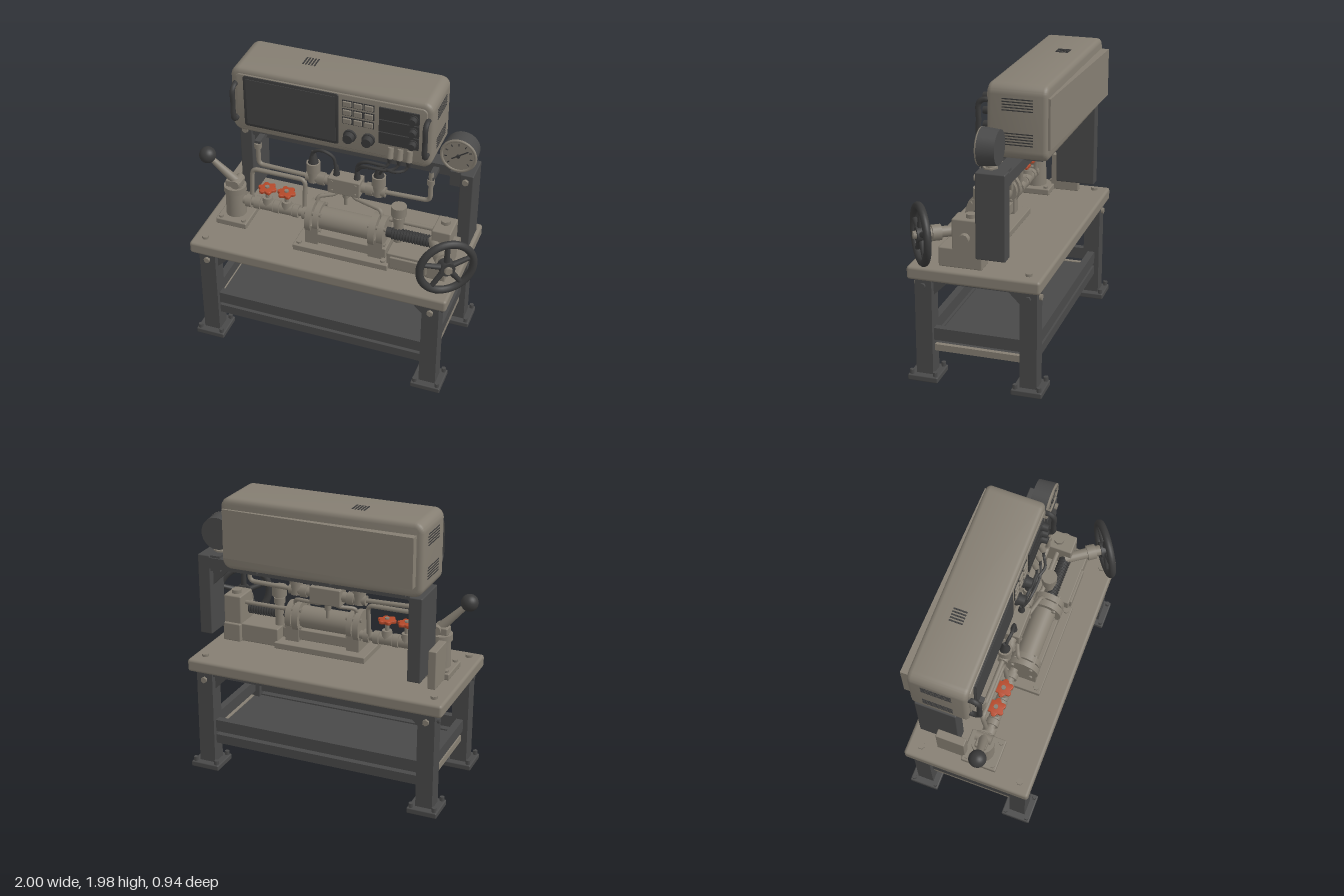
import * as THREE from 'three';
import { toCreasedNormals } from 'three/addons/utils/BufferGeometryUtils.js';
import { RoundedBoxGeometry } from 'three/addons/geometries/RoundedBoxGeometry.js';

const mat = (name, color) => Object.assign(new THREE.MeshStandardMaterial({ color }), { name });
const V = (p) => new THREE.Vector3(...p);

export function createModel() {
  const model = new THREE.Group();
  model.name = 'testBench';
  const beige = mat('warmGreyPaint', 0x857e72), dark = mat('darkSteel', 0x494949);
  const black = mat('blackRubber', 0x3a3a3a), glass = mat('screenGlass', 0x424242);
  const orange = mat('orangeValve', 0xb4492a);

  const add = (name, m, geo, pos = [0, 0, 0], parent = model) => {
    const mesh = new THREE.Mesh(geo, m);
    mesh.name = name;
    mesh.position.set(...pos);
    parent.add(mesh);
    return mesh;
  };
  // box given by its ranges, with an optional rounded edge
  const box = (name, m, x0, x1, y0, y1, z0, z1, r = 0) => add(name, m,
    r ? new RoundedBoxGeometry(x1 - x0, y1 - y0, z1 - z0, 2, r) : new THREE.BoxGeometry(x1 - x0, y1 - y0, z1 - z0),
    [(x0 + x1) / 2, (y0 + y1) / 2, (z0 + z1) / 2]);
  // cylinder or cone from point a to point b
  const rod = (name, m, a, b, r0, r1 = r0, sides = 20, parent = model) => {
    const A = V(a), B = V(b), d = B.clone().sub(A);
    const mesh = add(name, m, new THREE.CylinderGeometry(r1, r0, d.length(), sides), A.clone().lerp(B, 0.5).toArray(), parent);
    mesh.quaternion.setFromUnitVectors(new THREE.Vector3(0, 1, 0), d.normalize());
    return mesh;
  };
  const cable = (name, m, pts, r) => add(name, m,
    new THREE.TubeGeometry(new THREE.CatmullRomCurve3(pts.map(V)), 28, r, 8));
  // pipe with straight runs and rounded bends
  const pipe = (name, pts, r, bend = 0.04) => {
    const path = new THREE.CurvePath(), p = pts.map(V);
    let from = p[0];
    for (let i = 1; i < p.length - 1; i++) {
      const a = p[i].clone().add(p[i - 1].clone().sub(p[i]).setLength(bend));
      const b = p[i].clone().add(p[i + 1].clone().sub(p[i]).setLength(bend));
      path.add(new THREE.LineCurve3(from, a));
      path.add(new THREE.QuadraticBezierCurve3(a, p[i], b));
      from = b;
    }
    path.add(new THREE.LineCurve3(from, p[p.length - 1]));
    add(name, beige, new THREE.TubeGeometry(path, 60, r, 10));
  };
  const bolt = (m, a, dir, r = 0.018, h = 0.02) => rod('bolt', m, a, a.map((v, i) => v + dir[i] * h), r, r, 6);
  const roundRect = (w, h, r) => {
    const s = new THREE.Shape(), x = w / 2 - r, y = h / 2 - r;
    [[x, y], [-x, y], [-x, -y], [x, -y]].forEach(([cx, cy], i) => s.absarc(cx, cy, r, i * Math.PI / 2, (i + 1) * Math.PI / 2));
    return s;
  };
  const extrude = (shape, depth, bevel = 0) => toCreasedNormals(new THREE.ExtrudeGeometry(shape, {
    depth, bevelEnabled: bevel > 0, bevelSize: bevel, bevelThickness: bevel, bevelSegments: 3, curveSegments: 8 }), 0.6);
  // triangular brace with its right angle at a top corner
  const gusset = (x, y, z, size, yaw) => {
    const s = new THREE.Shape([[0, 0], [0, -size], [size, 0]].map((p) => new THREE.Vector2(...p)));
    const g = new THREE.ExtrudeGeometry(s, { depth: 0.03, bevelEnabled: false }).translate(0, 0, -0.015);
    add('gusset', dark, g, [x, y, z]).rotation.y = yaw;
  };

  // --- table ---
  box('tableTop', beige, -0.96, 0.86, 0.72, 0.81, -0.46, 0.425, 0.02);
  const legX = [-0.848, 0.748], legZ = [-0.37, 0.333];
  for (const x of legX) for (const z of legZ) {
    const sx = Math.sign(x), sz = Math.sign(z);
    box('leg', dark, x - 0.058, x + 0.058, 0.03, 0.72, z - 0.057, z + 0.057);
    box('foot', dark, x - 0.104, x + 0.104, 0, 0.04, z - 0.103, z + 0.103, 0.008);
    for (const i of [-1, 1]) for (const j of [-1, 1]) bolt(dark, [x + i * 0.08, 0.04, z + j * 0.08], [0, 1, 0], 0.016, 0.03);
    bolt(beige, [x, 0.665, z + sz * 0.055], [0, 0, sz], 0.022);
    bolt(dark, [x + sx * 0.055, 0.665, z], [sx, 0, 0], 0.02);
    bolt(beige, [x + (x > 0 ? 0.022 : -0.027), 0.808, z + 0.007], [0, 1, 0], 0.024);
    gusset(x - sx * 0.058, 0.69, z, 0.1, sx > 0 ? Math.PI : 0);
    gusset(x, 0.69, z - sz * 0.057, 0.1, sz > 0 ? Math.PI / 2 : -Math.PI / 2);
  }
  for (const z of legZ) {
    box('longApron', dark, -0.8, 0.7, 0.69, 0.722, z - 0.045, z + 0.045);
    box('longRail', dark, -0.8, 0.7, 0.27, 0.355, z - 0.025, z + 0.025);
    box('shelfRail', dark, -0.8, 0.7, 0.18, 0.245, z - 0.025, z + 0.025);
  }
  for (const x of legX) {
    box('sideApron', dark, x - 0.045, x + 0.045, 0.69, 0.722, -0.32, 0.28);
    box('sideRail', dark, x - 0.025, x + 0.025, 0.275, 0.36, -0.32, 0.28);
    box('shelfEdge', beige, x - 0.015, x + 0.015, 0.195, 0.24, -0.32, 0.28);
  }
  box('shelf', dark, -0.835, 0.735, 0.2, 0.235, -0.36, 0.32);

  // --- upper frame ---
  box('leftPost', dark, -0.79, -0.7, 0.91, 1.485, -0.4, -0.12, 0.008);
  box('rightPost', dark, 0.78, 0.87, 0.92, 1.49, -0.24, -0.045, 0.008);
  box('crossBeam', dark, -0.71, 0.8, 1.4, 1.475, -0.24, -0.13);
  box('rightBeamPlate', dark, 0.71, 0.8, 1.38, 1.49, -0.23, -0.06);
  gusset(-0.7, 1.4, -0.18, 0.1, 0);
  gusset(0.78, 1.4, -0.18, 0.13, Math.PI);
  bolt(beige, [0.82, 1.44, -0.047], [0, 0, 1], 0.022);
  bolt(beige, [-0.745, 1.44, -0.122], [0, 0, 1], 0.022);
  for (const x of [-0.61, -0.1, 0.42]) {
    box('cabinetBracket', dark, x - 0.05, x + 0.05, 1.46, 1.51, -0.36, -0.08);
  }

  // --- instrument cabinet ---
  const cx = -0.102, cy = 1.732;
  add('cabinet', beige, extrude(roundRect(1.325, 0.425, 0.035), 0.33, 0.03), [cx, cy, -0.39]);
  add('frontBezel', beige, extrude(roundRect(1.3, 0.4, 0.03), 0.012, 0.006), [cx, cy, -0.04]);
  const wedge = new THREE.Shape([[-0.75, 0.42], [0.57, 0.42], [0.57, 0.435], [-0.75, 0.475]].map((p) => new THREE.Vector2(...p)));
  add('backPanel', beige, new THREE.ExtrudeGeometry(wedge, { depth: 0.33, bevelEnabled: false }).rotateX(-Math.PI / 2), [0, 1.57, 0]);
  add('screenFrame', black, extrude(roundRect(0.655, 0.375, 0.015), 0.01, 0.004), [-0.37, 1.74, -0.03]);
  box('screen', glass, -0.68, -0.06, 1.57, 1.91, -0.02, -0.012);
  const knob = (x, y, r, d) => {
    rod('knobSkirt', black, [x, y, -0.025], [x, y, -0.005], r, r);
    rod('knob', black, [x, y, -0.01], [x, y, -0.01 + d], r * 0.85, r * 0.75, 16);
  };
  for (let r = 0; r < 3; r++) {
    for (let c = 0; c < 3; c++) {
      const x = 0.02 + c * 0.074, y = 1.873 - r * 0.064;
      box('keySurround', black, x - 0.035, x + 0.035, y - 0.025, y + 0.025, -0.03, -0.018);
      box('key', beige, x - 0.029, x + 0.029, y - 0.019, y + 0.019, -0.03, -0.008, 0.005);
    }
    const y = 1.857 - r * 0.093;
    box('moduleFace', black, 0.237, 0.505, y - 0.043, y + 0.043, -0.03, -0.012);
    knob(0.468, y, 0.032, 0.04);
  }
  knob(0.04, 1.635, 0.044, 0.045);
  knob(0.168, 1.635, 0.044, 0.045);
  for (const x of [-0.757, 0.56]) {
    cable('handle', black, [[x, 1.6, -0.035], [x, 1.6, 0.0], [x, 1.625, 0.03], [x, 1.73, 0.032], [x, 1.835, 0.03], [x, 1.86, 0.0], [x, 1.86, -0.035]], 0.018);
  }
  // side and top vent slots
  for (const [x, s] of [[0.59, 1], [-0.794, -1]]) for (const y0 of [1.59, 1.81]) for (let i = 0; i < 5; i++) {
    box('sideVent', black, x - 0.003, x + 0.003, y0 + i * 0.018, y0 + i * 0.018 + 0.007, -0.33, -0.13);
  }
  for (let i = 0; i < 5; i++) box('topVent', black, -0.365 + i * 0.02, -0.355 + i * 0.02, 1.972, 1.977, -0.31, -0.22);

  // --- ports, cones and cables ---
  for (const x of [0.322, 0.386, 0.45]) {
    rod('port', beige, [x, 1.61, -0.015], [x, 1.54, 0.005], 0.02, 0.022, 10);
    rod('portCap', black, [x, 1.54, 0.005], [x, 1.505, 0.008], 0.019, 0.012, 10);
  }
  const cableEnds = [[0.322, 0.095], [0.386, 0.095], [0.45, 0.245]];
  cableEnds.forEach(([x, e], i) => cable('cable', black, [[x, 1.51, 0.008], [x - 0.02, 1.48, 0.02], [x - 0.08, 1.455 + i * 0.008, 0.03 + i * 0.01],
    [e + 0.05, 1.44 + i * 0.01, 0.03], [e, 1.38, 0.0]], 0.01));
  cable('cable', black, [[-0.215, 1.4, 0], [-0.205, 1.46, 0], [-0.14, 1.49, 0.01], [-0.07, 1.45, 0], [-0.05, 1.36, 0]], 0.011);
  cable('cable', black, [[0.095, 1.36, 0], [0.1, 1.42, 0], [0.15, 1.47, 0.01], [0.3, 1.48, 0.02]], 0.011);

  // --- manifold and upper pipes ---
  const mz = -0.01;
  box('manifold', beige, -0.095, 0.13, 1.19, 1.31, mz - 0.055, mz + 0.055, 0.008);
  for (const x of [-0.065, 0.1]) for (const y of [1.215, 1.285]) bolt(beige, [x, y, mz + 0.05], [0, 0, 1], 0.01, 0.012);
  for (const x of [-0.05, 0.095]) rod('nipple', black, [x, 1.3, mz], [x, 1.38, mz], 0.025, 0.014, 12);
  for (const s of [-1, 1]) {
    const x = 0.0165 + s * 0.23, end = s < 0 ? -0.61 : 0.6;
    rod('elbowFitting', beige, [0.0165 + s * 0.11, 1.25, mz], [x + s * 0.05, 1.25, mz], 0.035);
    rod('fittingCollar', beige, [0.0165 + s * 0.145, 1.25, mz], [x - s * 0.035, 1.25, mz], 0.045, 0.045, 6);
    rod('elbowRiser', beige, [x, 1.22, mz], [x, 1.31, mz], 0.04);
    rod('elbowCap', beige, [x, 1.3, mz], [x, 1.37, mz], 0.048, 0.048, 12);
    rod('cableCone', black, [x, 1.37, mz], [x, 1.46, mz], 0.036, 0.012, 14);
    pipe('upperPipe', [[x, 1.25, mz], [end, 1.26, mz], [end, s < 0 ? 1.43 : 1.49, mz]], 0.016);
    rod('pipeNut', beige, [end, 1.39, mz], [end, 1.43, mz], 0.026, 0.026, 6);
    box('pipeClip', dark, end - 0.02, end + 0.02, 1.42, 1.45, -0.14, mz + 0.01);
    pipe('drainPipe', [[0.0165 + s * 0.04, 1.2, mz], [0.0165 + s * 0.06, 1.165, mz + 0.02], [s < 0 ? -0.16 : 0.29, 1.15, 0.06], [s < 0 ? -0.16 : 0.3, 1.08, 0.08]], 0.014, 0.03);
  }
  rod('manifoldDrain', beige, [0.0165, 1.2, mz], [0.0165, 1.14, mz], 0.026, 0.022, 10);
  rod('drainTip', beige, [0.0165, 1.15, mz], [0.0165, 1.08, mz], 0.012);

  // --- gauge ---
  const gx = 0.76, gy = 1.625;
  rod('gaugeBody', dark, [gx, gy, -0.17], [gx, gy, -0.055], 0.112, 0.122, 40);
  add('gaugeRim', beige, new THREE.TorusGeometry(0.113, 0.01, 8, 40), [gx, gy, -0.053]);
  rod('gaugeFace', beige, [gx, gy, -0.06], [gx, gy, -0.051], 0.108, 0.108, 40);
  for (let i = 0; i < 9; i++) {
    const a = -0.7 + i * 0.57;
    const t = add('gaugeTick', black, new THREE.BoxGeometry(0.018, 0.006, 0.004), [gx + 0.085 * Math.cos(a), gy + 0.085 * Math.sin(a), -0.05]);
    t.rotation.z = a;
  }
  add('needle', black, new THREE.BoxGeometry(0.13, 0.008, 0.004), [gx + 0.01, gy + 0.01, -0.047]).rotation.z = 0.6;
  rod('needleHub', black, [gx, gy, -0.052], [gx, gy, -0.04], 0.013);
  rod('gaugeStem', beige, [gx, 1.4, -0.11], [gx, 1.52, -0.11], 0.03);
  rod('gaugeNut', beige, [gx, 1.455, -0.11], [gx, 1.5, -0.11], 0.05, 0.05, 6);

  // --- lever stand ---
  box('leverBase', beige, -0.875, -0.65, 0.81, 0.855, -0.08, 0.165, 0.008);
  for (const x of [-0.845, -0.68]) for (const z of [-0.05, 0.135]) bolt(beige, [x, 0.85, z], [0, 1, 0]);
  box('leverBackBox', beige, -0.845, -0.79, 0.815, 1.08, -0.26, -0.06, 0.006);
  rod('leverBody', beige, [-0.77, 0.85, 0.045], [-0.77, 1.05, 0.045], 0.072, 0.066, 24);
  rod('leverCollar', beige, [-0.77, 1.04, 0.045], [-0.77, 1.085, 0.045], 0.078, 0.078, 24);
  box('leverYoke', beige, -0.825, -0.715, 1.08, 1.135, 0.005, 0.085, 0.01);
  rod('leverPivot', beige, [-0.75, 1.115, -0.01], [-0.75, 1.115, 0.1], 0.032);
  rod('leverArm', beige, [-0.745, 1.105, 0.045], [-0.93, 1.295, 0.078], 0.034, 0.019);
  add('leverBall', black, new THREE.SphereGeometry(0.058, 24, 16), [-0.945, 1.312, 0.08]);

  // --- valve line ---
  const vz = 0.045, vy = 0.975;
  rod('valvePipe', beige, [-0.72, vy, vz], [-0.18, vy, vz], 0.03);
  for (const x of [-0.665, -0.6, -0.46, -0.32, -0.25]) {
    rod('pipeCollar', beige, [x - 0.02, vy, vz], [x + 0.02, vy, vz], 0.046, 0.046, 12);
  }
  const lobes = new THREE.Shape(Array.from({ length: 48 }, (_, i) => {
    const a = i * Math.PI / 24, r = 0.053 + 0.009 * Math.cos(6 * a);
    return new THREE.Vector2(r * Math.cos(a), r * Math.sin(a));
  }));
  for (const x of [-0.53, -0.39]) {
    rod('valveBody', beige, [x - 0.045, vy, vz], [x + 0.045, vy, vz], 0.042);
    rod('valveBonnet', beige, [x, vy, vz], [x, 1.04, vz], 0.042, 0.034, 12);
    rod('valveStem', beige, [x, 1.03, vz], [x, 1.13, vz], 0.015);
    add('valveWheel', orange, extrude(lobes, 0.014, 0.004).rotateX(-Math.PI / 2), [x, 1.102, vz]);
  }
  pipe('bypassPipe', [[-0.655, 0.98, vz - 0.02], [-0.655, 1.215, 0], [-0.27, 1.215, 0], [-0.27, 0.98, vz - 0.02]], 0.016);

  // --- pump ---
  const pz = 0.1, py = 1.015;
  box('pumpBase', beige, -0.27, 0.4, 0.81, 0.855, -0.06, 0.255, 0.006);
  box('pumpSaddle', beige, -0.12, 0.37, 0.87, 0.945, 0.02, 0.2, 0.006);
  rod('pumpCylinder', beige, [-0.13, py, pz], [0.27, py, pz], 0.078, 0.078, 32);
  for (const [x0, x1] of [[-0.2, -0.11], [0.245, 0.345]]) {
    box('pumpPedestal', beige, x0, x1, 0.85, 1.0, pz - 0.09, pz + 0.1);
    rod('pumpFlange', beige, [x0, py, pz], [(x0 + x1) / 2 - 0.005, py, pz], 0.115, 0.115, 28);
    rod('pumpFlange', beige, [(x0 + x1) / 2 + 0.008, py, pz], [x1, py, pz], 0.105, 0.105, 28);
    for (const i of [-1, 1]) for (const j of [-1, 1]) {
      rod('flangeBolt', beige, [x0 - 0.012, py + i * 0.065, pz + j * 0.065], [x1 + 0.012, py + i * 0.065, pz + j * 0.065], 0.014, 0.014, 6);
    }
  }
  for (const x of [-0.235, 0.36]) bolt(beige, [x, 0.85, 0.22], [0, 1, 0]);
  rod('screw', black, [0.34, py, pz], [0.7, py, pz], 0.034);
  for (let i = 0; i < 14; i++) add('screwThread', black, new THREE.TorusGeometry(0.036, 0.007, 6, 18).rotateY(Math.PI / 2), [0.39 + i * 0.02, py, pz]);
  rod('guideRod', beige, [0.34, 1.075, 0.04], [0.68, 1.075, 0.04], 0.015);
  box('screwBox', beige, 0.385, 0.69, 0.81, 0.94, -0.03, 0.225, 0.008);
  box('screwBoxPanel', beige, 0.41, 0.665, 0.835, 0.92, 0.22, 0.24, 0.006);
  rod('fillerNeck', beige, [0.415, 0.93, 0.07], [0.415, 1.15, 0.07], 0.032);
  rod('fillerCollar', beige, [0.415, 1.1, 0.07], [0.415, 1.14, 0.07], 0.04);
  rod('fillerCap', beige, [0.415, 1.155, 0.07], [0.415, 1.225, 0.07], 0.052, 0.052, 16);

  // --- gearbox and handwheel ---
  box('gearboxStand', beige, 0.66, 0.79, 0.81, 0.94, -0.06, 0.23, 0.008);
  box('gearbox', beige, 0.66, 0.79, 0.92, 1.14, -0.04, 0.14, 0.01);
  rod('gearboxCap', beige, [0.725, 1.13, 0.03], [0.725, 1.165, 0.03], 0.035, 0.035, 8);
  rod('gearboxPort', beige, [0.785, 1.02, 0.05], [0.83, 1.02, 0.05], 0.035, 0.035, 12);
  const wheel = new THREE.Group();
  wheel.name = 'handwheel';
  wheel.position.set(0.825, 1.026, 0.332);
  wheel.rotation.y = 0.61;
  model.add(wheel);
  add('wheelRim', black, new THREE.TorusGeometry(0.182, 0.026, 12, 48), [0, 0, 0], wheel);
  for (let i = 0; i < 5; i++) {
    const a = Math.PI / 2 + i * Math.PI * 0.4;
    rod('spoke', black, [0, 0, 0], [0.18 * Math.cos(a), 0.18 * Math.sin(a), 0], 0.022, 0.016, 10, wheel);
  }
  rod('wheelHub', black, [0, 0, -0.035], [0, 0, 0.03], 0.055, 0.05, 20, wheel);
  rod('hubNut', beige, [0, 0, 0.025], [0, 0, 0.05], 0.03, 0.026, 6, wheel);
  rod('wheelShaft', beige, [0, 0, -0.29], [0, 0, -0.02], 0.036, 0.036, 20, wheel);
  rod('shaftCollar', beige, [0, 0, -0.13], [0, 0, -0.07], 0.052, 0.052, 16, wheel);
  return model;
}
